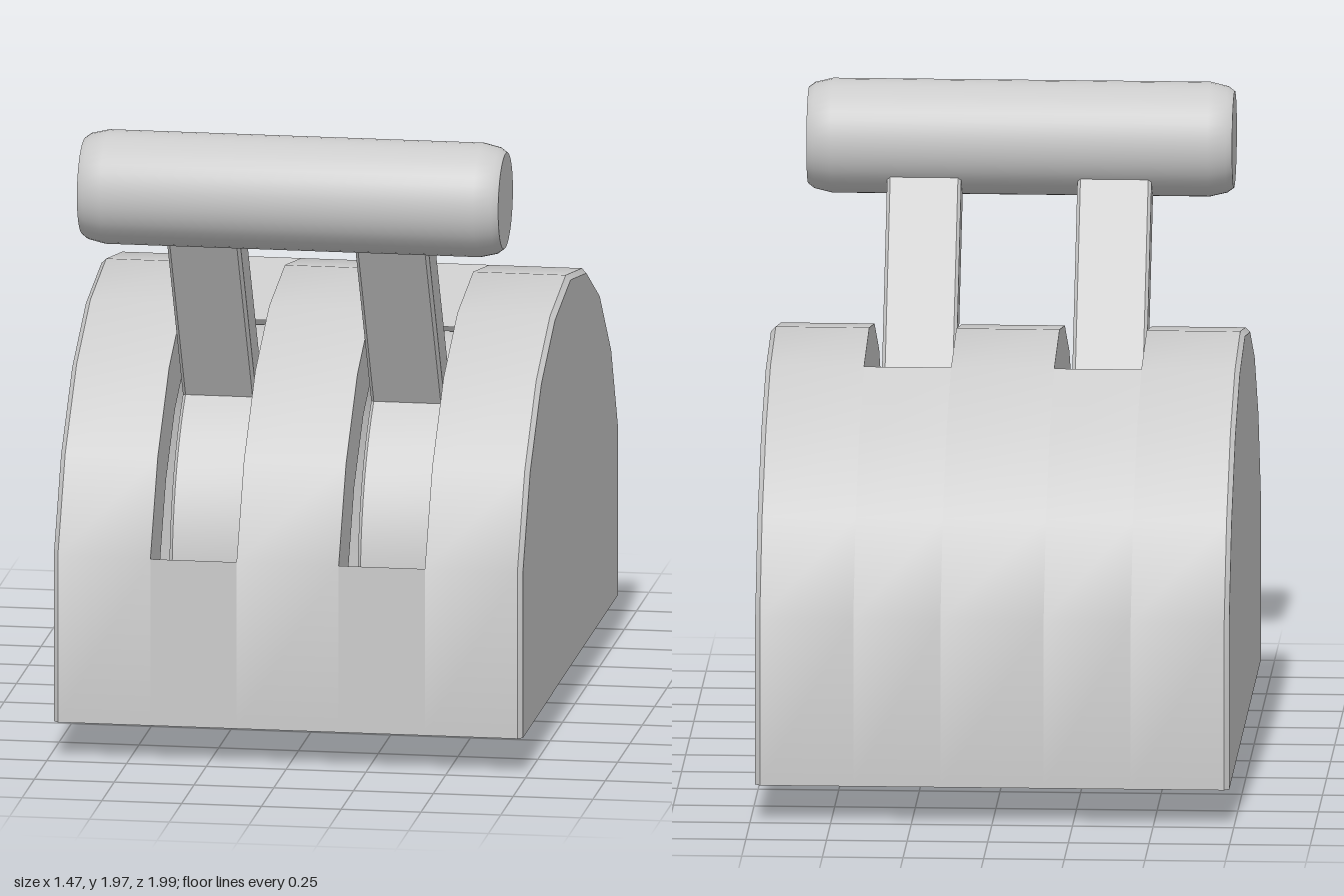
import * as THREE from 'three';
import { toCreasedNormals } from 'three/addons/utils/BufferGeometryUtils.js';

const mat = new THREE.MeshStandardMaterial({ color: 0xcccccc, side: THREE.DoubleSide });

// Housing profile as [z, y], from the back foot over the top to the front foot
const outer = [
  [-0.99, 0.13], [-0.99, 0.66], [-0.845, 0.95], [-0.61, 1.18], [-0.335, 1.32],
  [-0.01, 1.375], [0.31, 1.32], [0.59, 1.18], [0.82, 0.95], [0.97, 0.66], [0.97, 0.13],
];
const HALF = 0.735, CHAMFER = 0.015;
const SLOT_IN = 0.16, SLOT_OUT = 0.43;
const SLOT_A = 4, SLOT_B = 9; // profile points where the slots end

// Profile shrunk towards the hub of the dome, keeping the foot level
const shrink = (profile, k) => profile.map(([z, y]) =>
  [-0.01 + (z + 0.01) * k, y < 0.2 ? y : 0.39 + (y - 0.39) * k]);

function add(parent, name, geometry) {
  const mesh = new THREE.Mesh(geometry, mat);
  mesh.name = name;
  parent.add(mesh);
  return mesh;
}

// Sheet stretched between two profiles lying at two x positions
function sheet(a, xa, b, xb) {
  const g = new THREE.PlaneGeometry(1, 1, 1, a.length - 1);
  const p = g.attributes.position;
  a.forEach(([z, y], i) => {
    p.setXYZ(2 * i, xa, y, z);
    p.setXYZ(2 * i + 1, xb, b[i][1], b[i][0]);
  });
  return toCreasedNormals(g, 0.6);
}

function makeHousing() {
  const g = new THREE.Group();
  g.name = 'housing';
  const capProfile = shrink(outer, 1 - CHAMFER);
  const edge = HALF - CHAMFER;

  // Full-length bands beside and between the slots
  for (const [x0, x1] of [[-edge, -SLOT_OUT], [-SLOT_IN, SLOT_IN], [SLOT_OUT, edge]])
    add(g, 'housingBand', sheet(outer, x0, outer, x1));

  // Chamfered rims and flat side walls
  add(g, 'rim', sheet(capProfile, -HALF, outer, -edge));
  add(g, 'rim', sheet(outer, edge, capProfile, HALF));
  const wall = new THREE.Shape(capProfile.map(([z, y]) => new THREE.Vector2(z, y)));
  for (const s of [-1, 1]) {
    const geo = new THREE.ShapeGeometry(wall);
    // mirror the plane so that each wall faces outward
    if (s > 0) geo.scale(-1, 1, 1).rotateY(Math.PI / 2);
    else geo.rotateY(-Math.PI / 2);
    if (s > 0) {
      const idx = geo.index.array;
      for (let i = 0; i < idx.length; i += 3) [idx[i], idx[i + 1]] = [idx[i + 1], idx[i]];
    }
    geo.computeVertexNormals();
    add(g, 'sideWall', geo).position.x = s * HALF;
  }

  // Slots: skin behind and in front, then a deep lip around the opening
  const lipTop = outer.slice(SLOT_A, SLOT_B + 1);
  const lipBottom = shrink(lipTop, 0.8);
  for (const [x0, x1] of [[-SLOT_OUT, -SLOT_IN], [SLOT_IN, SLOT_OUT]]) {
    const back = outer.slice(0, SLOT_A + 1), front = outer.slice(SLOT_B);
    add(g, 'backSkin', sheet(back, x0, back, x1));
    add(g, 'frontSkin', sheet(front, x0, front, x1));
    add(g, 'slotSide', sheet(lipTop, x0, lipBottom, x0));
    add(g, 'slotSide', sheet(lipBottom, x1, lipTop, x1));
    const n = lipTop.length - 1;
    const backEnd = [lipTop[0], lipBottom[0]];
    const frontEnd = [lipBottom[n], lipTop[n]];
    add(g, 'slotBackEnd', sheet(backEnd, x0, backEnd, x1));
    add(g, 'slotFrontEnd', sheet(frontEnd, x0, frontEnd, x1));
  }
  return g;
}

// Lever: a wide sector turning on its hub, with a straight arm along its axis
function leverGeometry() {
  const hub = [0.07, 0.53], r = 0.655, armEnd = 1.46, half = 0.064;
  const axis = Math.PI / 3, spread = 1.955, gap = Math.asin(half / r);
  const at = (along, across) => [
    hub[0] + along * Math.cos(axis) + across * Math.sin(axis),
    hub[1] + along * Math.sin(axis) - across * Math.cos(axis),
  ];
  const s = new THREE.Shape();
  s.moveTo(...hub);
  s.absarc(...hub, r, axis - spread, axis - gap, false);
  s.lineTo(...at(armEnd, half));
  s.lineTo(...at(armEnd, -half));
  s.absarc(...hub, r, axis + gap, axis + spread, false);
  s.closePath();
  const b = 0.01, width = 0.23;
  const g = new THREE.ExtrudeGeometry(s, {
    depth: width - 2 * b, curveSegments: 16,
    bevelThickness: b, bevelSize: b, bevelOffset: -b, bevelSegments: 1,
  });
  g.translate(0, 0, -(width - 2 * b) / 2).rotateY(-Math.PI / 2);
  return toCreasedNormals(g, 0.5);
}

function handleGeometry() {
  const half = [[0, 0.66], [0.15, 0.66], [0.165, 0.64], [0.178, 0.585]];
  const points = [
    ...half.map(([r, x]) => new THREE.Vector2(r, -x)),
    ...half.slice().reverse().map(([r, x]) => new THREE.Vector2(r, x)),
  ];
  const g = new THREE.LatheGeometry(points, 40);
  g.rotateZ(Math.PI / 2);
  return toCreasedNormals(g, 0.5);
}

export function createModel() {
  const model = new THREE.Group();
  model.name = 'leverConsole';
  model.add(makeHousing());

  // Pair of levers joined by one grip bar
  const lever = leverGeometry();
  for (const side of [-1, 1])
    add(model, side > 0 ? 'leftLever' : 'rightLever', lever).position.x = side * 0.295;
  add(model, 'gripBar', handleGeometry()).position.set(0, 1.806, 0.822);
  return model;
}
